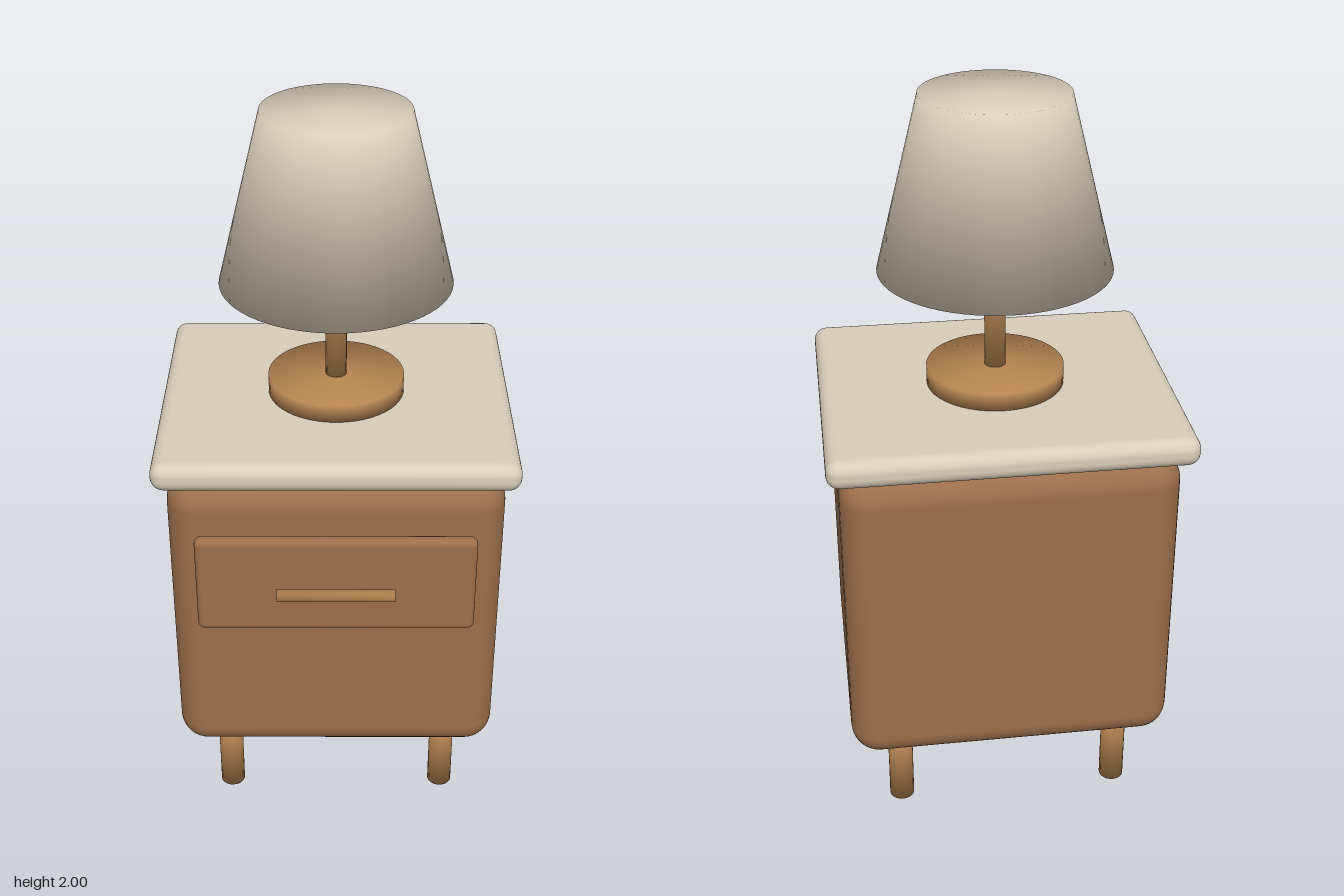
import * as THREE from 'three';
import { RoundedBoxGeometry } from 'three/addons/geometries/RoundedBoxGeometry.js';

const walnut = new THREE.MeshStandardMaterial({ color: 0x9c6f4c });
const oak = new THREE.MeshStandardMaterial({ color: 0xb58552 });
const cream = new THREE.MeshStandardMaterial({ color: 0xd8cdba });

const CENTER_Z = -0.04;

export function createModel() {
  const model = new THREE.Group();
  model.name = 'nightstandWithLamp';

  const add = (name, geometry, material, x, y, z) => {
    const mesh = new THREE.Mesh(geometry, material);
    mesh.name = name;
    mesh.position.set(x, y, z);
    model.add(mesh);
    return mesh;
  };

  // Closed cylinder or cone whose shading runs softly over the rims
  const softCylinder = (rTop, rBottom, height, sides = 48) => {
    const geometry = new THREE.CylinderGeometry(rTop, rBottom, height, sides);
    const position = geometry.attributes.position;
    const normal = geometry.attributes.normal;
    const slant = Math.atan2(rBottom - rTop, height);
    for (let i = 0; i < position.count; i++) {
      const x = position.getX(i), z = position.getZ(i);
      const cap = Math.sign(position.getY(i));
      const r = Math.hypot(x, z);
      const out = Math.cos(slant), up = Math.sin(slant) + cap;
      const len = Math.hypot(out, up);
      const radial = r > 1e-6 ? out / (len * r) : 0;
      normal.setXYZ(i, x * radial, up / len, z * radial);
    }
    return geometry;
  };

  // Cabinet
  add('cabinetBody', new RoundedBoxGeometry(0.9, 0.9, 0.78, 4, 0.08), walnut, 0, 0.67, CENTER_Z);
  add('tableTop', new RoundedBoxGeometry(0.96, 0.08, 0.84, 4, 0.035), cream, 0, 1.16, CENTER_Z);
  add('drawerFront', new RoundedBoxGeometry(0.745, 0.29, 0.042, 3, 0.018), walnut, 0, 0.845, 0.384);

  // Drawer handle
  const handle = add('drawerHandle', softCylinder(0.017, 0.017, 0.312, 24), oak, 0, 0.845, 0.441);
  handle.rotation.z = Math.PI / 2;

  // Legs
  for (const [side, x] of [['Left', 0.312], ['Right', -0.312]]) {
    for (const [end, z] of [['front', 0.237], ['back', -0.313]]) {
      add(`${end}${side}Leg`, softCylinder(0.035, 0.035, 0.23, 24), oak, x, 0.115, z);
    }
  }

  // Lamp
  add('lampBase', softCylinder(0.187, 0.187, 0.05), oak, 0, 1.225, CENTER_Z);
  add('lampStem', softCylinder(0.029, 0.029, 0.32, 24), oak, 0, 1.39, CENTER_Z);
  add('lampShade', softCylinder(0.195, 0.312, 0.468, 64), cream, 0, 1.766, CENTER_Z);

  return model;
}
